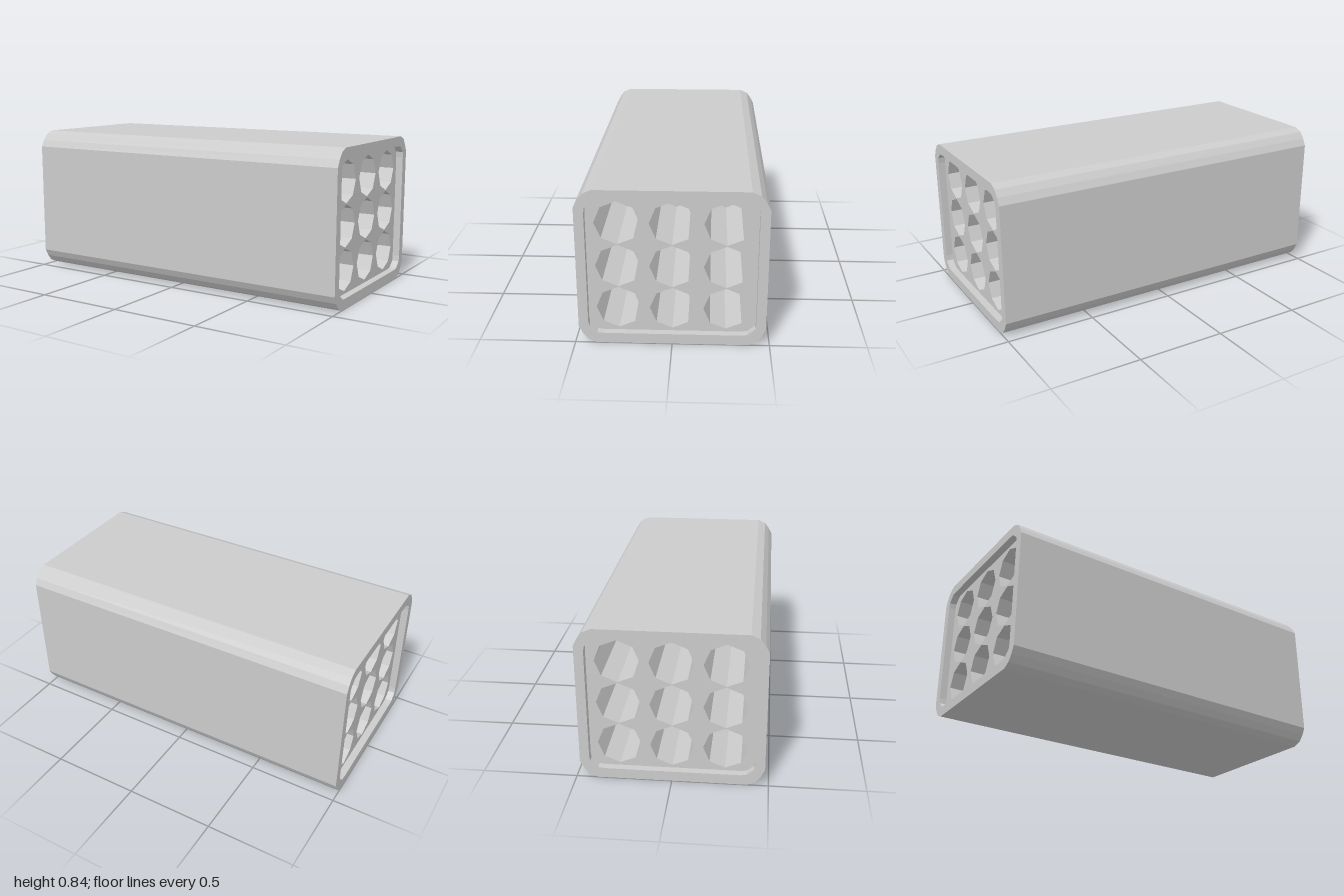
import * as THREE from 'three';

const LENGTH = 2, HEIGHT = 0.843, RECESS = 0.04, TUBE_DEPTH = 0.5;
const material = new THREE.MeshStandardMaterial({ color: 0xcccccc, flatShading: true });

// Mirror one corner's points (first quadrant, side to top) into a closed outline
function outline(corner) {
  const back = [...corner].reverse();
  return [
    ...corner,
    ...back.map(([z, y]) => [-z, y]),
    ...corner.map(([z, y]) => [-z, -y]),
    ...back.map(([z, y]) => [z, -y]),
  ].map(([z, y]) => new THREE.Vector2(z, y));
}

function octagon(cz, cy, r) {
  return Array.from({ length: 8 }, (_, i) => {
    const a = (i * Math.PI) / 4;
    return new THREE.Vector2(cz + r * Math.cos(a), cy + r * Math.sin(a));
  });
}

// Extrude a cross-section along x, centred on the given x
function prism(name, points, holes, length, x) {
  const shape = new THREE.Shape(points);
  holes.forEach((h) => shape.holes.push(new THREE.Path(h)));
  const geometry = new THREE.ExtrudeGeometry(shape, { depth: length, bevelEnabled: false });
  geometry.translate(0, 0, -length / 2).rotateY(Math.PI / 2);
  const mesh = new THREE.Mesh(geometry, material);
  mesh.name = name;
  mesh.position.set(x, HEIGHT / 2, 0);
  return mesh;
}

export function createModel() {
  const group = new THREE.Group();
  group.name = 'tubePod';

  const outer = outline([[0.48, 0.328], [0.46, 0.367], [0.433, 0.402], [0.388, 0.4215]]);
  const inner = outline([[0.43, 0.295], [0.426, 0.327], [0.385, 0.362], [0.35, 0.366]]);

  // Three by three grid of octagonal tubes
  const tubes = [];
  for (let row = -1; row <= 1; row++)
    for (let col = -1; col <= 1; col++) tubes.push(octagon(col * 0.274, row * 0.2345, 0.115));

  // Outer casing, open at both ends
  group.add(prism('casing', outer, [inner], LENGTH, 0));

  // Recessed tube block at each end
  const faceX = LENGTH / 2 - RECESS;
  for (const [name, side] of [['leftTubeBlock', 1], ['rightTubeBlock', -1]])
    group.add(prism(name, inner, tubes, TUBE_DEPTH, side * (faceX - TUBE_DEPTH / 2)));

  // Solid middle that closes the tubes
  group.add(prism('bulkhead', inner, [], 2 * (faceX - TUBE_DEPTH), 0));

  return group;
}
